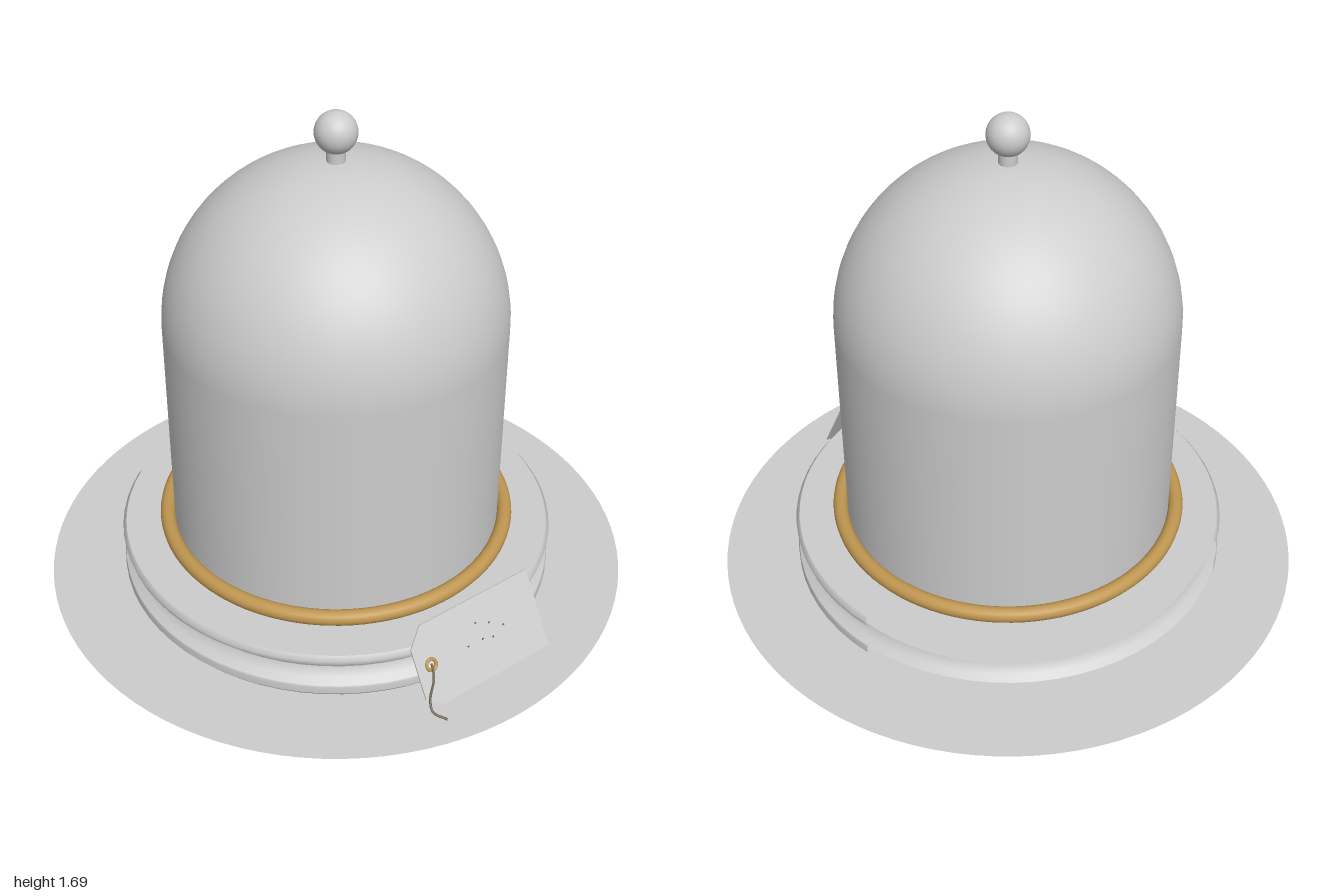
import * as THREE from 'three';

const V2 = (p) => new THREE.Vector2(p[0], p[1]);
const V3 = (x, y, z) => new THREE.Vector3(x, y, z);

export function createModel() {
  const group = new THREE.Group();
  const paleGrey = new THREE.MeshStandardMaterial({ color: 0xcccccc });
  const paleSheet = new THREE.MeshStandardMaterial({ color: 0xcccccc, side: THREE.DoubleSide });
  const brass = new THREE.MeshStandardMaterial({ color: 0xbf9650 });
  const twine = new THREE.MeshStandardMaterial({ color: 0x6e6355 });

  const add = (name, geometry, material, parent = group) => {
    const mesh = new THREE.Mesh(geometry, material);
    mesh.name = name;
    parent.add(mesh);
    return mesh;
  };
  // Turned surface between two angles, measured in degrees from the front
  const turned = (name, profile, from = -180, to = 180, segments = 64) => add(name,
    new THREE.LatheGeometry(profile.map(V2), segments,
      THREE.MathUtils.degToRad(from), THREE.MathUtils.degToRad(to - from)), paleGrey);

  // Flat ground disc
  add('groundDisc', new THREE.CircleGeometry(1, 96), paleSheet).rotation.x = -Math.PI / 2;

  // Plinth: full deck and lower cove, with mouldings left open at the back
  turned('plinthDeck', [[0.733, 0.17], [0.5, 0.17]]);
  turned('lowerCove', [[0.742, 0.045], [0.72, 0.062], [0.707, 0.078], [0.702, 0.093]]);
  turned('upperCove', [[0.702, 0.093], [0.707, 0.108], [0.72, 0.122], [0.74, 0.137]], -112, 122, 44);
  turned('upperRim', [[0.74, 0.137], [0.745, 0.155], [0.733, 0.17]], -119, 129, 46);
  turned('lowerRim', [[0.745, 0.015], [0.745, 0.04], [0.742, 0.045]], -119, 129, 46);
  turned('footChamfer', [[0.735, 0.002], [0.745, 0.015]], -112, 122, 44);

  // Brass ring around the foot of the dome
  const ring = add('brassRing', new THREE.TorusGeometry(0.587, 0.026, 16, 96), brass);
  ring.rotation.x = Math.PI / 2;
  ring.position.y = 0.195;

  // Dome with straight walls and a rounded crown
  const dome = [[0.563, 0.17], [0.563, 0.6]];
  for (let i = 0; i <= 24; i++) {
    const a = (i / 24) * Math.PI / 2;
    dome.push([0.563 * Math.cos(a), 0.967 + 0.563 * Math.sin(a)]);
  }
  turned('dome', dome);

  // Knob on its neck
  add('knobNeck', new THREE.CylinderGeometry(0.03, 0.03, 0.07, 24), paleGrey).position.y = 1.55;
  add('knob', new THREE.SphereGeometry(0.068, 32, 20), paleGrey).position.y = 1.625;

  // Tag leaning on the plinth: local x runs along it, local y up its face
  const tag = new THREE.Group();
  tag.name = 'tag';
  const along = V3(0.918, 0, -0.396).normalize();
  const normal = V3(0.343, 0.497, 0.796).normalize();
  const up = normal.clone().cross(along).normalize();
  tag.applyMatrix4(new THREE.Matrix4().makeBasis(along, up, normal).setPosition(0.16, 0.01, 0.84));
  group.add(tag);

  const outline = new THREE.Shape([[0, 0], [0.446, 0], [0.446, 0.271], [0, 0.271],
    [-0.055, 0.21], [-0.055, 0.04]].map(V2));
  const hole = new THREE.Path();
  hole.absarc(0, 0.137, 0.014, 0, Math.PI * 2, true);
  outline.holes.push(hole);
  const card = new THREE.ExtrudeGeometry(outline, { depth: 0.005, bevelEnabled: false, curveSegments: 16 });
  card.translate(0, 0, -0.005);
  add('tagCard', card, paleGrey, tag);
  add('eyelet', new THREE.TorusGeometry(0.018, 0.006, 10, 24), brass, tag).position.set(0, 0.137, 0);

  // Small flecks on the card
  [[0.15, 0.13], [0.2, 0.19], [0.21, 0.13], [0.25, 0.17], [0.25, 0.12], [0.3, 0.14]].forEach(([x, y]) => {
    add('fleck', new THREE.BoxGeometry(0.007, 0.005, 0.002), twine, tag).position.set(x, y, 0);
  });

  // Loose string from the eyelet to the ground
  const path = new THREE.CatmullRomCurve3([V3(0.135, 0.13, 0.775), V3(0.132, 0.105, 0.815),
    V3(0.112, 0.05, 0.85), V3(0.115, 0.022, 0.877), V3(0.155, 0.008, 0.903)]);
  add('string', new THREE.TubeGeometry(path, 28, 0.004, 8), twine);

  return group;
}
